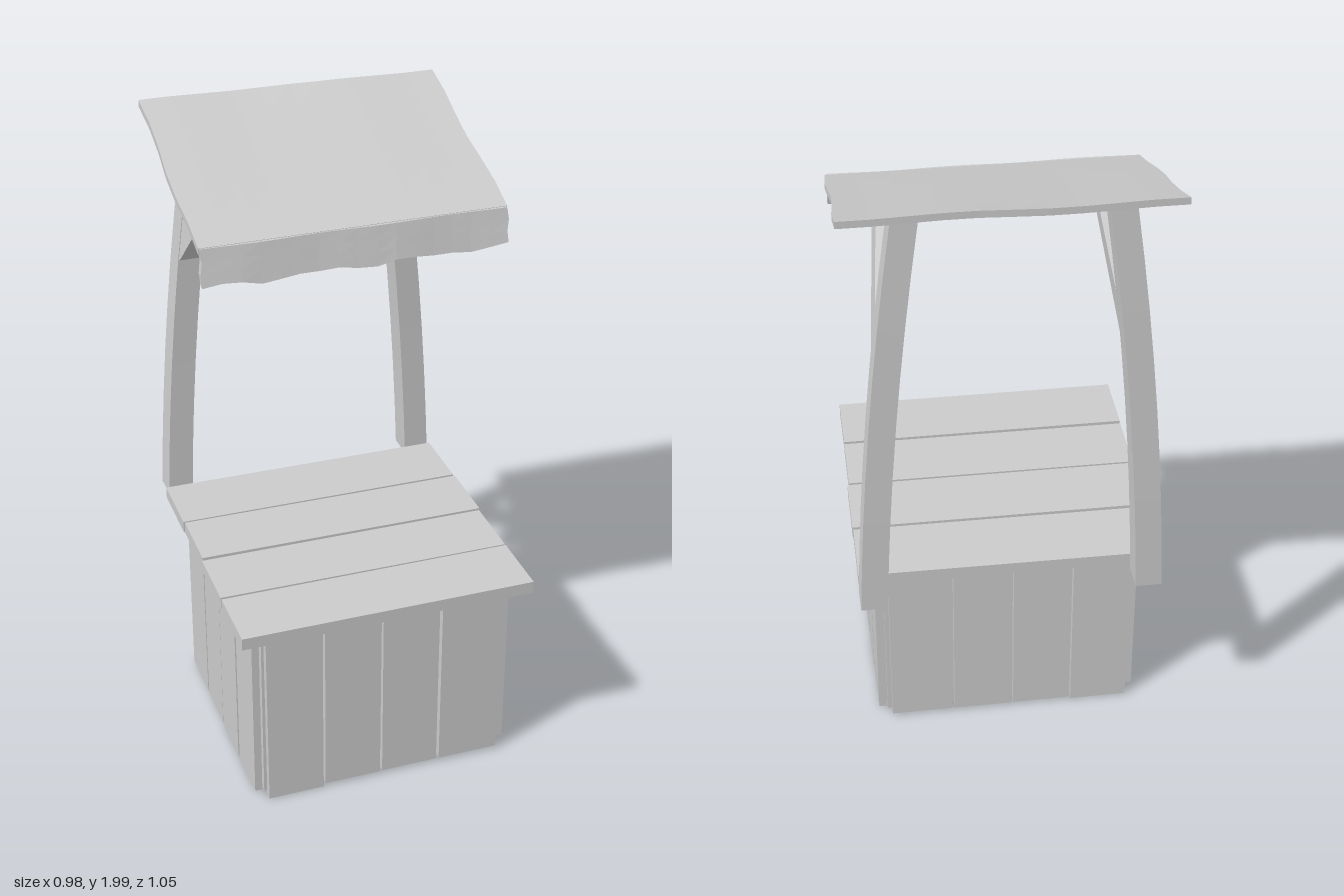
import * as THREE from 'three';

const wood = new THREE.MeshStandardMaterial({ color: 0xcccccc, flatShading: true, side: THREE.DoubleSide });

// Small seeded generator for hand-cut irregularity
let seed = 7;
const jitter = (a) => {
  seed = (seed * 16807) % 2147483647;
  return (seed / 2147483647 - 0.5) * 2 * a;
};

// A box given by its limits
function board(name, x0, x1, y0, y1, z0, z1) {
  const g = new THREE.BoxGeometry(x1 - x0, y1 - y0, z1 - z0);
  const m = new THREE.Mesh(g, wood);
  m.name = name;
  m.position.set((x0 + x1) / 2, (y0 + y1) / 2, (z0 + z1) / 2);
  return m;
}

// Move every vertex of a geometry by a rule
function reshape(geometry, rule) {
  const p = geometry.attributes.position;
  const v = new THREE.Vector3();
  for (let i = 0; i < p.count; i++) {
    rule(v.fromBufferAttribute(p, i));
    p.setXYZ(i, v.x, v.y, v.z);
  }
  geometry.computeVertexNormals();
  return geometry;
}

// Inward curve shared by posts and braces: centre x at height y
const postX = (y) => 0.427 - 0.04 * (y - 0.63) - 0.04 * (y - 0.63) ** 2;
const roofUnderside = (z) => 1.972 - 0.323 * (z + 0.52);

function post(side) {
  const g = reshape(new THREE.BoxGeometry(0.082, 1, 0.092, 1, 8, 1), (v) => {
    const t = v.y + 0.5;
    const z = -0.476 + 0.018 * t * t + v.z * (1 - 0.06 * t);
    const y = 0.63 + t * (roofUnderside(z) - 0.63);
    v.set(side * (postX(y) + v.x * (1 - 0.06 * t)), y, z);
  });
  const m = new THREE.Mesh(g, wood);
  m.name = side > 0 ? 'leftPost' : 'rightPost';
  return m;
}

// Diagonal strut cut flush with post and roof, drawn in the z-y plane
function brace(side) {
  const s = new THREE.Shape([
    [-0.43, 1.5], [-0.415, 1.495], [-0.095, 1.838], [-0.185, 1.866], [-0.43, 1.62],
  ].map(([z, y]) => new THREE.Vector2(z, y)));
  const g = new THREE.ExtrudeGeometry(s, { depth: 0.074, bevelEnabled: false });
  reshape(g, (v) => v.set(side * postX(v.y) + v.z - 0.037, v.y, v.x));
  const m = new THREE.Mesh(g, wood);
  m.name = side > 0 ? 'leftBrace' : 'rightBrace';
  return m;
}

// Sloping sheet with uneven edges, and the hanging strip in front
function roof() {
  const group = new THREE.Group();
  group.name = 'roof';
  const sheet = new THREE.Mesh(reshape(new THREE.BoxGeometry(0.965, 0.022, 1, 10, 1, 6), (v) => {
    const t = v.z + 0.5;
    const backSkew = 0.011 * THREE.MathUtils.smoothstep(v.x, -0.1, 0.15) * (1 - t);
    const z = -0.53 + backSkew + t * 0.665;
    const wave = 0.003 * Math.sin(v.x * 11) * (1 - t);
    const edge = 0.005 * Math.sin(t * 9 + v.x);
    v.set(v.x + 0.005 + edge - 0.006 * t, 1.987 - 0.323 * (z + 0.53) + v.y + wave, z);
  }), wood);
  sheet.name = 'roofSheet';
  const strip = new THREE.Mesh(reshape(new THREE.BoxGeometry(0.955, 1, 0.022, 16, 3, 1), (v) => {
    const t = 0.5 - v.y;
    const ripple = 0.006 * Math.sin(v.x * 21 + 1) + 0.004 * Math.sin(v.x * 37);
    v.set(v.x + 0.004 * Math.sin(t * 6), 1.782 - t * (0.113 + ripple), 0.131 + 0.024 * t + v.z + 0.003 * Math.sin(v.x * 16));
  }), wood);
  strip.name = 'roofStrip';
  group.add(sheet, strip);
  return group;
}

// Closed crate of upright planks around a plain core
function crate() {
  const group = new THREE.Group();
  group.name = 'crate';
  group.add(board('core', -0.415, 0.385, 0.022, 0.635, -0.32, 0.455));
  const xs = [-0.41, -0.22, -0.027, 0.168, 0.375];
  const zs = [-0.305, -0.115, 0.068, 0.253, 0.437];
  const gap = 0.004;
  const low = () => 0.014 + jitter(0.006);
  for (let i = 0; i < 4; i++) {
    const [x0, x1, z0, z1] = [xs[i] + gap, xs[i + 1] - gap, zs[i] + gap, zs[i + 1] - gap];
    group.add(
      board('frontPlank', x0, x1, low(), 0.632, 0.44, 0.477 + jitter(0.003)),
      board('backPlank', x0, x1, low(), 0.632, -0.343 + jitter(0.003), -0.305),
      board('leftPlank', 0.375, 0.411 + jitter(0.003), low(), 0.632, z0, z1),
      board('rightPlank', -0.438 + jitter(0.003), -0.405, low(), 0.632, z0, z1),
    );
  }
  // Planks may lean very slightly
  group.children.forEach((m, i) => {
    if (i && m.name !== 'leftPlank' && m.name !== 'rightPlank') m.rotation.z = jitter(0.004);
    else if (i) m.rotation.x = jitter(0.004);
  });
  return group;
}

// Four loose planks forming the counter
function counter() {
  const group = new THREE.Group();
  group.name = 'counter';
  const edges = [-0.412, -0.172, 0.062, 0.292, 0.525];
  for (let i = 0; i < 4; i++) {
    const shift = jitter(0.006);
    const lift = jitter(0.003);
    const m = board('counterPlank', -0.488 + shift, 0.46 + shift, 0.632 + lift, 0.672 + lift, edges[i] + 0.005, edges[i + 1] - 0.005);
    m.rotation.set(jitter(0.01), -0.006 + jitter(0.005), jitter(0.003));
    group.add(m);
  }
  return group;
}

export function createModel() {
  seed = 7;
  const model = new THREE.Group();
  model.name = 'marketStall';
  model.add(crate(), counter(), roof());
  for (const side of [-1, 1]) model.add(post(side), brace(side));
  return model;
}
